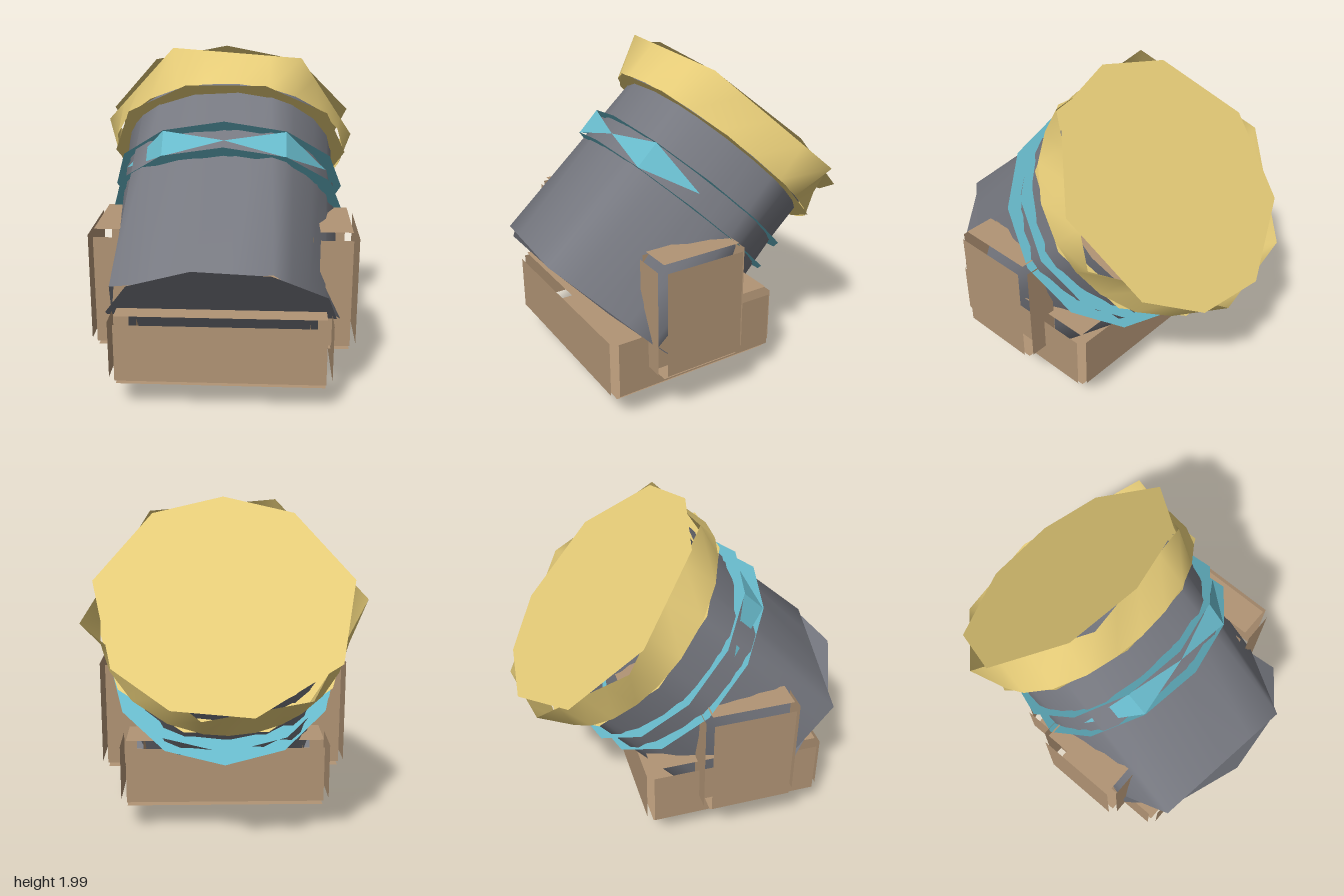
import * as THREE from 'three';

export function createModel() {
  const model = new THREE.Group();
  const mat = (name, color) =>
    Object.assign(new THREE.MeshStandardMaterial({ color, side: THREE.DoubleSide }), { name });
  const iron = mat('iron grey', 0x777981);
  const gold = mat('gold', 0xe6cc78);
  const wood = mat('wood brown', 0xb19475);
  const cyan = mat('cyan', 0x68bacb);

  const add = (parent, name, geometry, material, x = 0, y = 0, z = 0) => {
    const mesh = new THREE.Mesh(geometry, material);
    mesh.name = name;
    mesh.position.set(x, y, z);
    parent.add(mesh);
  };

  // Point around the barrel axis; 0 degrees is its upper front side
  const at = (deg, r, y) => {
    const a = THREE.MathUtils.degToRad(deg);
    return new THREE.Vector3(Math.sin(a) * r, y, Math.cos(a) * r);
  };

  // Uneven polygon ring from [degrees, radius] corners, each edge cut in four
  const polygonLoop = (corners, y) => corners.flatMap(([deg, r], i) => {
    const next = corners[(i + 1) % corners.length];
    const a = at(deg, r, y), b = at(next[0], next[1], y);
    return [0, 0.25, 0.5, 0.75].map((k) => a.clone().lerp(b, k));
  });
  // Round ring whose points line up with those of another ring
  const roundLoop = (loop, r, y) =>
    loop.map((p) => at(THREE.MathUtils.radToDeg(Math.atan2(p.x, p.z)), r, y));

  // Smooth wall between a lower and an upper ring
  const skirt = (lower, upper) => {
    const n = lower.length, index = [];
    for (let i = 0; i < n; i++) {
      const j = (i + 1) % n;
      index.push(i, j, n + j, i, n + j, n + i);
    }
    const geometry = new THREE.BufferGeometry().setFromPoints([...lower, ...upper]);
    geometry.setIndex(index);
    geometry.computeVertexNormals();
    return geometry;
  };

  // Flat polygon across the barrel axis
  const disc = (degrees, r) => {
    const points = degrees.map((d) => at(d, r, 0)).map((p) => new THREE.Vector2(p.x, -p.z));
    return new THREE.ShapeGeometry(new THREE.Shape(points)).rotateX(-Math.PI / 2);
  };

  // Tilted tube: local y runs along the barrel
  const tube = new THREE.Group();
  tube.name = 'tiltedTube';
  tube.position.set(0, 0.495, 0.495);
  tube.rotation.x = -Math.PI / 4;
  model.add(tube);

  const bottom = -0.03, rimBottom = 1.115, rimTop = 1.355;

  // Barrel with an uneven foot and a separate end plate
  const foot = polygonLoop(
    [[24, 0.7], [87, 0.675], [147, 0.67], [216, 0.72], [268, 0.65], [307, 0.745]], bottom);
  add(tube, 'barrel', skirt(foot, roundLoop(foot, 0.64, 1.2)), iron);
  const footAngles = Array.from({ length: 10 }, (_, i) => i * 36 - 12);
  add(tube, 'barrelEnd', disc(footAngles, 0.68), iron, 0, bottom, 0);

  // Muzzle cap: skirt, underside ring and top plate
  const brim = polygonLoop(
    [[34, 0.78], [101, 0.81], [170, 0.77], [215, 0.785], [270, 0.8], [337, 0.8]], rimTop);
  add(tube, 'capSkirt', skirt(roundLoop(brim, 0.72, rimBottom), brim), gold);
  add(tube, 'capUnderside', new THREE.RingGeometry(0.62, 0.735, 10).rotateX(-Math.PI / 2),
    gold, 0, rimBottom, 0);
  add(tube, 'capTop', disc([0, 34, 80, 126, 157, 191, 236, 280, 326], 0.755),
    gold, 0, rimTop + 0.003, 0);

  // Two thin hoops around the barrel
  const hoops = [0.865, 0.695];
  for (const y of hoops) {
    const hoop = new THREE.RingGeometry(0.62, 0.705, 12).rotateX(-Math.PI / 2);
    add(tube, 'hoop', hoop, cyan, 0, y, 0);
  }

  // Pointed bands bridging the hoops on the upper side
  for (const s of [-1, 1]) {
    const inner = at(0, 0.645, 0.78), outer = at(s * 60, 0.675, 0.78);
    const high = at(s * 30, 0.7, hoops[0]), low = at(s * 30, 0.7, hoops[1]);
    const corners = s > 0
      ? [inner, low, high, high, low, outer]
      : [inner, high, low, high, outer, low];
    const band = new THREE.BufferGeometry().setFromPoints(corners);
    band.computeVertexNormals();
    add(tube, s > 0 ? 'leftBand' : 'rightBand', band, cyan);
  }

  // Box of six loose boards, each standing a little off the edges
  const gap = 0.037;
  const boardBox = (name, w, h, d, x, y, z) => {
    const box = new THREE.Group();
    box.name = name;
    box.position.set(x, y, z);
    for (const s of [-1, 1]) {
      const turn = s * Math.PI / 2;
      add(box, 'endBoard', new THREE.PlaneGeometry(w, h).rotateY(turn - Math.PI / 2),
        wood, 0, 0, s * (d / 2 + gap));
      add(box, 'sideBoard', new THREE.PlaneGeometry(d, h).rotateY(turn),
        wood, s * (w / 2 + gap), 0, 0);
      add(box, 'flatBoard', new THREE.PlaneGeometry(w, d).rotateX(-turn),
        wood, 0, s * (h / 2 + gap), 0);
    }
    model.add(box);
  };

  // Stand: low base with an upright cheek on each side
  boardBox('base', 1.19, 0.34, 1.03, -0.005, 0.365, 0.215);
  for (const s of [-1, 1]) {
    boardBox(s > 0 ? 'leftCheek' : 'rightCheek', 0.185, 0.64, 0.49, s * 0.64, 0.65, 0.26);
  }

  return model;
}
